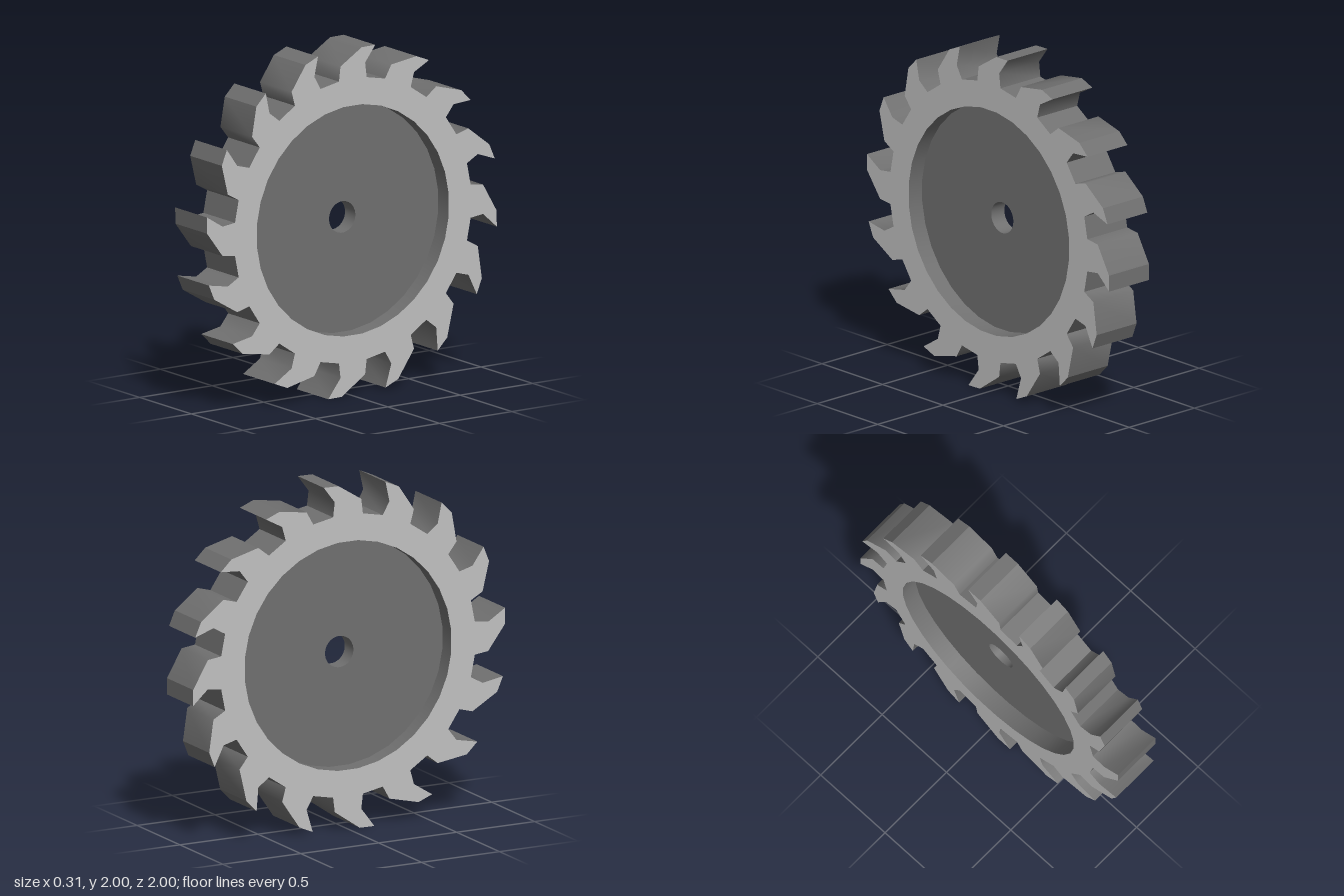
import * as THREE from 'three';
import { mergeGeometries } from 'three/addons/utils/BufferGeometryUtils.js';

const TEETH = 16, HALF = 0.153, PLATE = 0.05, RECESS = 0.665, BORE = 0.091;
const rad = THREE.MathUtils.degToRad;

// Point at a radius and a clockwise angle from the top
const polar = (r, deg, dx = 0, dy = 0) =>
  new THREE.Vector2(r * Math.sin(rad(deg)) + dx, r * Math.cos(rad(deg)) + dy);

// Counter-clockwise ring of points
const ring = (r, n) => Array.from({ length: n }, (_, i) => polar(r, -(i + 0.5) * 360 / n));

// Smooth strip through the points, facing left of their direction of travel
function wall(points, half) {
  const pos = [], index = [];
  points.forEach((p, i) => {
    pos.push(p.x, p.y, -half, p.x, p.y, half);
    if (i) {
      const a = 2 * i - 2;
      index.push(a, a + 1, a + 2, a + 1, a + 3, a + 2);
    }
  });
  const g = new THREE.BufferGeometry();
  g.setAttribute('position', new THREE.Float32BufferAttribute(pos, 3));
  g.setIndex(index);
  g.computeVertexNormals();
  return g;
}

// Pair of flat faces with a hole, at +half and -half
function faces(outline, hole, half) {
  const shape = new THREE.Shape(outline);
  shape.holes.push(new THREE.Path(hole));
  const front = new THREE.ShapeGeometry(shape).translate(0, 0, half);
  const back = new THREE.ShapeGeometry(shape).translate(0, 0, -half);
  back.setIndex(Array.from(back.index.array).reverse());
  back.computeVertexNormals();
  return mergeGeometries([front, back]);
}

export function createModel() {
  const lightGrey = new THREE.MeshStandardMaterial({ color: 0xc0c0c0 });
  lightGrey.name = 'light grey';
  const darkGrey = new THREE.MeshStandardMaterial({ color: 0x707070 });
  darkGrey.name = 'dark grey';

  const model = new THREE.Group();
  model.name = 'toothedWheel';
  const wheel = new THREE.Group();
  wheel.name = 'wheel';
  model.add(wheel);
  const add = (name, geometry, material) => {
    const mesh = new THREE.Mesh(geometry, material);
    mesh.name = name;
    wheel.add(mesh);
  };

  // Hooked teeth: back, narrow top and undercut front, with straight gaps
  const outline = [], walls = [];
  for (let i = 0; i < TEETH; i++) {
    const a = i * 360 / TEETH;
    const rootBack = polar(0.819, a - 6.7), shoulder = polar(0.903, a - 5.4);
    const heel = polar(1.002, a + 3.9, -0.007, -0.009), tip = polar(1.014, a + 9.2, -0.007, -0.009);
    const throat = polar(0.903, a + 5.4), rootFront = polar(0.819, a + 6.7);
    outline.push(rootBack, shoulder, heel, tip, throat, rootFront);
    walls.push(
      wall([rootBack, shoulder, heel], HALF),
      wall([heel, tip], HALF),
      wall([tip, throat, rootFront], HALF),
      wall([rootFront, polar(0.819, a + 360 / TEETH - 6.7)], HALF));
  }
  add('toothWalls', mergeGeometries(walls), darkGrey);

  // Rim faces and the recess inside them
  const recess = ring(RECESS, 32);
  add('rimFaces', faces(outline, recess, HALF), lightGrey);
  add('recessWall', wall([...recess, recess[0]], HALF), darkGrey);

  // Thin centre plate with an axle hole
  const bore = ring(BORE, 32);
  add('centrePlate', faces(recess, bore, PLATE), darkGrey);
  add('axleHole', wall([...bore, bore[0]], PLATE), darkGrey);

  // Axle runs along x
  wheel.rotation.y = Math.PI / 2;
  wheel.position.set(0, 1.01, -0.006);
  return model;
}
